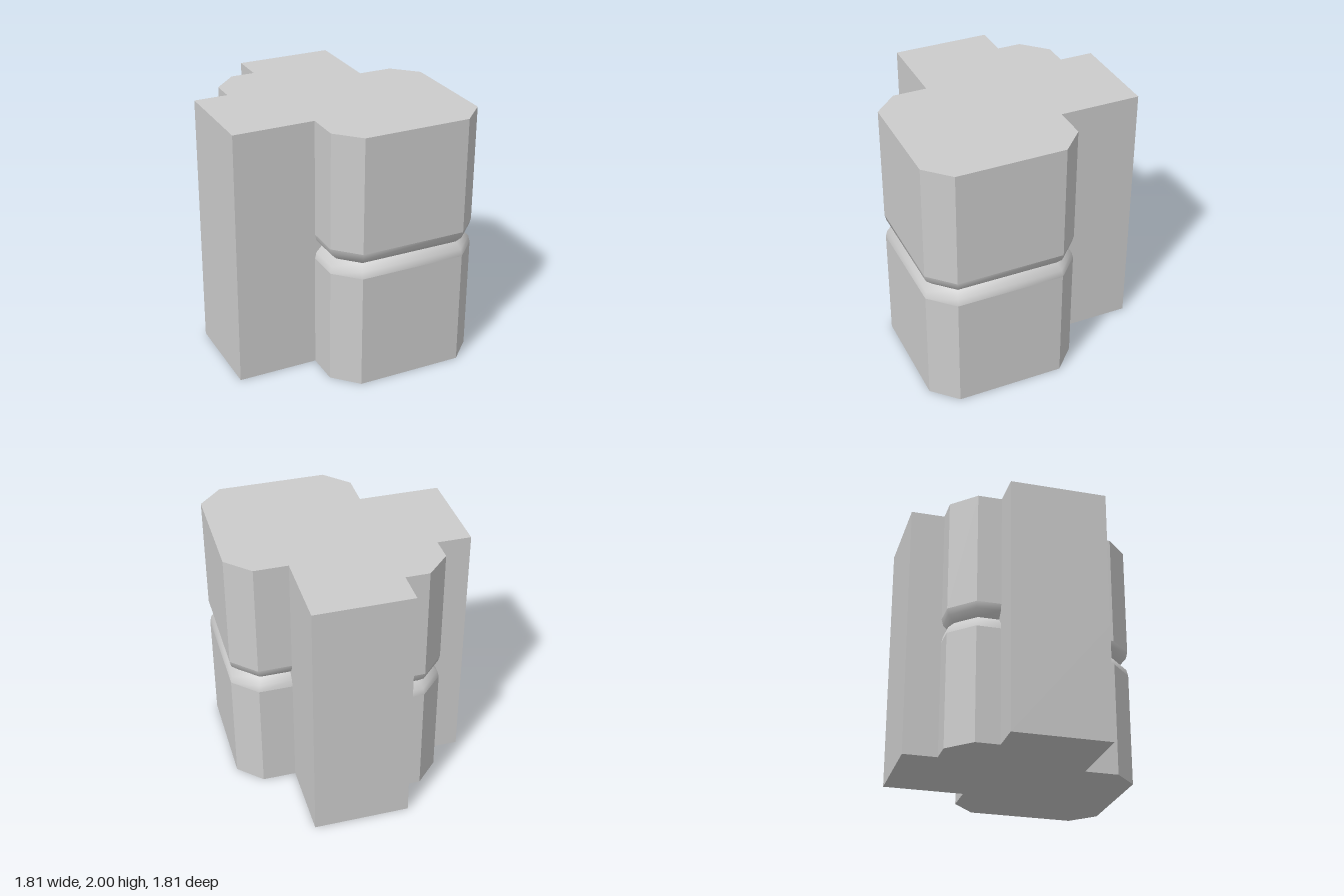
import * as THREE from 'three';
import { toCreasedNormals } from 'three/addons/utils/BufferGeometryUtils.js';

// Outline corners: x, z, then the direction each corner moves inside the groove
const t = 0.41;
const OUTLINE = [
  // left arm
  [-0.905, -0.28, 0, 0], [-0.905, 0.465, 0, 0],
  // large chamfered corner block
  [-0.28, 0.465, 1, 0], [-0.28, 0.725, 1, -t], [-0.105, 0.905, t, -1], [0.725, 0.905, -t, -1],
  [0.905, 0.725, -1, -t], [0.905, -0.105, -1, t], [0.725, -0.28, -t, 1], [0.465, -0.28, 0, 1],
  // back arm
  [0.465, -0.905, 0, 0], [-0.28, -0.905, 0, 0],
  // small chamfered corner block
  [-0.28, -0.645, 0, 1], [-0.465, -0.645, t, 1], [-0.645, -0.465, 1, t], [-0.645, -0.28, 1, 0],
];

// Side surface through a list of [height, inset] levels
function sides(levels, crease) {
  const pos = [];
  const at = (i, [y, inset]) => {
    const [x, z, dx, dz] = OUTLINE[i % OUTLINE.length];
    return [x + dx * inset, y, z + dz * inset];
  };
  for (let k = 0; k < levels.length - 1; k++) {
    for (let i = 0; i < OUTLINE.length; i++) {
      const a = at(i, levels[k]), b = at(i + 1, levels[k]);
      const c = at(i + 1, levels[k + 1]), d = at(i, levels[k + 1]);
      pos.push(...a, ...b, ...c, ...a, ...c, ...d);
    }
  }
  const geo = new THREE.BufferGeometry();
  geo.setAttribute('position', new THREE.Float32BufferAttribute(pos, 3));
  geo.computeVertexNormals();
  return toCreasedNormals(geo, crease);
}

// Flat end face; dir is 1 for the top and -1 for the bottom
function cap(y, dir) {
  const shape = new THREE.Shape(OUTLINE.map(([x, z]) => new THREE.Vector2(x, -dir * z)));
  return new THREE.ShapeGeometry(shape).rotateX(-dir * Math.PI / 2).translate(0, y, 0);
}

export function createModel() {
  const group = new THREE.Group();
  const material = new THREE.MeshStandardMaterial({ color: 0xcccccc });
  const add = (name, geo) => {
    const mesh = new THREE.Mesh(geo, material);
    mesh.name = name;
    group.add(mesh);
  };

  add('lowerWalls', sides([[0, 0], [0.9, 0]], 0.4));
  add('upperWalls', sides([[1.1, 0], [2, 0]], 0.4));
  // Rounded lips meeting in a sharp groove at mid height
  add('groove', sides([[0.9, 0], [0.95, 0.012], [1, 0.06], [1.05, 0.012], [1.1, 0]], 0.9));
  add('topFace', cap(2, 1));
  add('bottomFace', cap(0, -1));
  return group;
}
